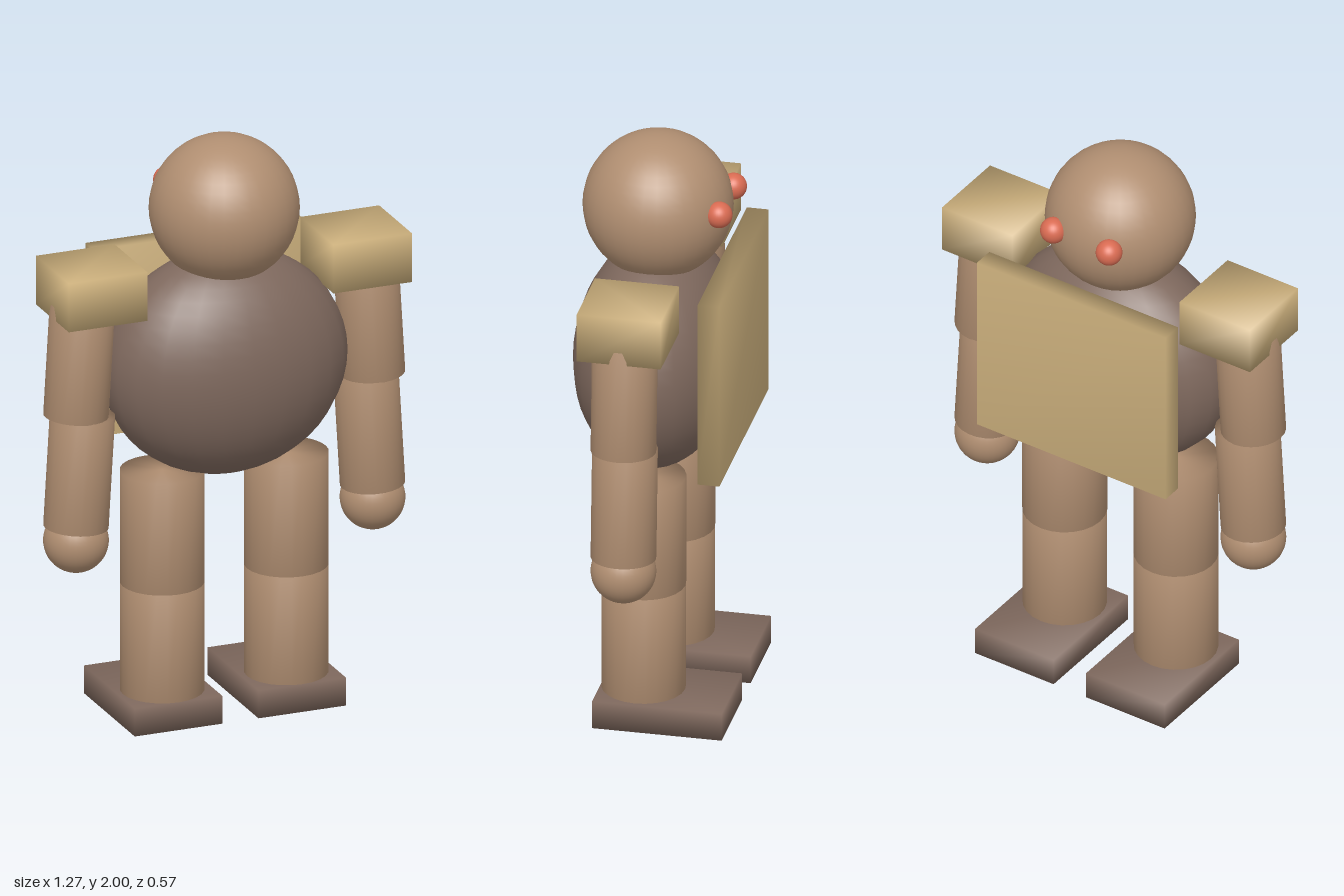
import * as THREE from 'three';
import { mergeVertices } from 'three/addons/utils/BufferGeometryUtils.js';

const material = (name, color) => {
  const m = new THREE.MeshStandardMaterial({ color });
  m.name = name;
  return m;
};

// Weld all corners so shading flows softly over every edge
function weld(geometry) {
  geometry.deleteAttribute('normal');
  geometry.deleteAttribute('uv');
  const welded = mergeVertices(geometry, 1e-4);
  welded.computeVertexNormals();
  return welded;
}

export function createModel() {
  const tan = material('tan', 0xb08e71);
  const brown = material('brown', 0x7e685d);
  const gold = material('gold', 0xcbaf7c);
  const red = material('red', 0xd96b52);

  const model = new THREE.Group();
  model.name = 'golem';
  const DEPTH = 0.013; // shared centre line of body and limbs

  function add(name, geometry, mat, x, y, z) {
    const mesh = new THREE.Mesh(geometry, mat);
    mesh.name = name;
    mesh.position.set(x, y, z);
    model.add(mesh);
    return mesh;
  }

  // Box given by its low and high corners
  function box(name, mat, [x0, y0, z0], [x1, y1, z1]) {
    const g = weld(new THREE.BoxGeometry(x1 - x0, y1 - y0, z1 - z0));
    return add(name, g, mat, (x0 + x1) / 2, (y0 + y1) / 2, (z0 + z1) / 2);
  }

  // Cylinder between two points in the plane of the body
  function limb(name, radius, [x0, y0], [x1, y1]) {
    const dir = new THREE.Vector3(x1 - x0, y1 - y0, 0);
    const g = weld(new THREE.CylinderGeometry(radius, radius, dir.length(), 24));
    const mesh = add(name, g, tan, (x0 + x1) / 2, (y0 + y1) / 2, DEPTH);
    mesh.quaternion.setFromUnitVectors(new THREE.Vector3(0, 1, 0), dir.normalize());
  }

  const ball = (name, mat, r, x, y, z) =>
    add(name, new THREE.SphereGeometry(r, 32, 24), mat, x, y, z);

  // Body and head
  const torso = add('torso', new THREE.SphereGeometry(1, 24, 24), brown, 0, 1.22, DEPTH);
  torso.scale.set(0.423, 0.387, 0.271);
  ball('head', tan, 0.248, 0, 1.752, DEPTH);
  box('chestPlate', gold, [-0.373, 0.925, -0.275], [0.373, 1.58, -0.202]);

  for (const s of [1, -1]) {
    const side = s > 0 ? 'left' : 'right';
    const span = (a, b) => (s > 0 ? [a, b] : [-b, -a]);

    ball(side + 'Eye', red, 0.044, s * 0.11, 1.785, -0.216);

    // Shoulder block and two-part arm
    const [sx0, sx1] = span(0.33, 0.609);
    box(side + 'Shoulder', gold, [sx0, 1.45, -0.13], [sx1, 1.62, 0.152]);
    limb(side + 'UpperArm', 0.108, [s * 0.526, 1.1], [s * 0.503, 1.488]);
    limb(side + 'Forearm', 0.108, [s * 0.526, 0.712], [s * 0.503, 1.1]);
    ball(side + 'Hand', tan, 0.108, s * 0.526, 0.662, DEPTH);

    // Two-part leg on a flat foot
    limb(side + 'Thigh', 0.14, [s * 0.22, 0.475], [s * 0.22, 0.865]);
    limb(side + 'Shin', 0.139, [s * 0.22, 0.09], [s * 0.22, 0.475]);
    const [fx0, fx1] = span(0.064, 0.375);
    box(side + 'Foot', brown, [fx0, 0, -0.283], [fx1, 0.097, 0.152]);
  }

  return model;
}
